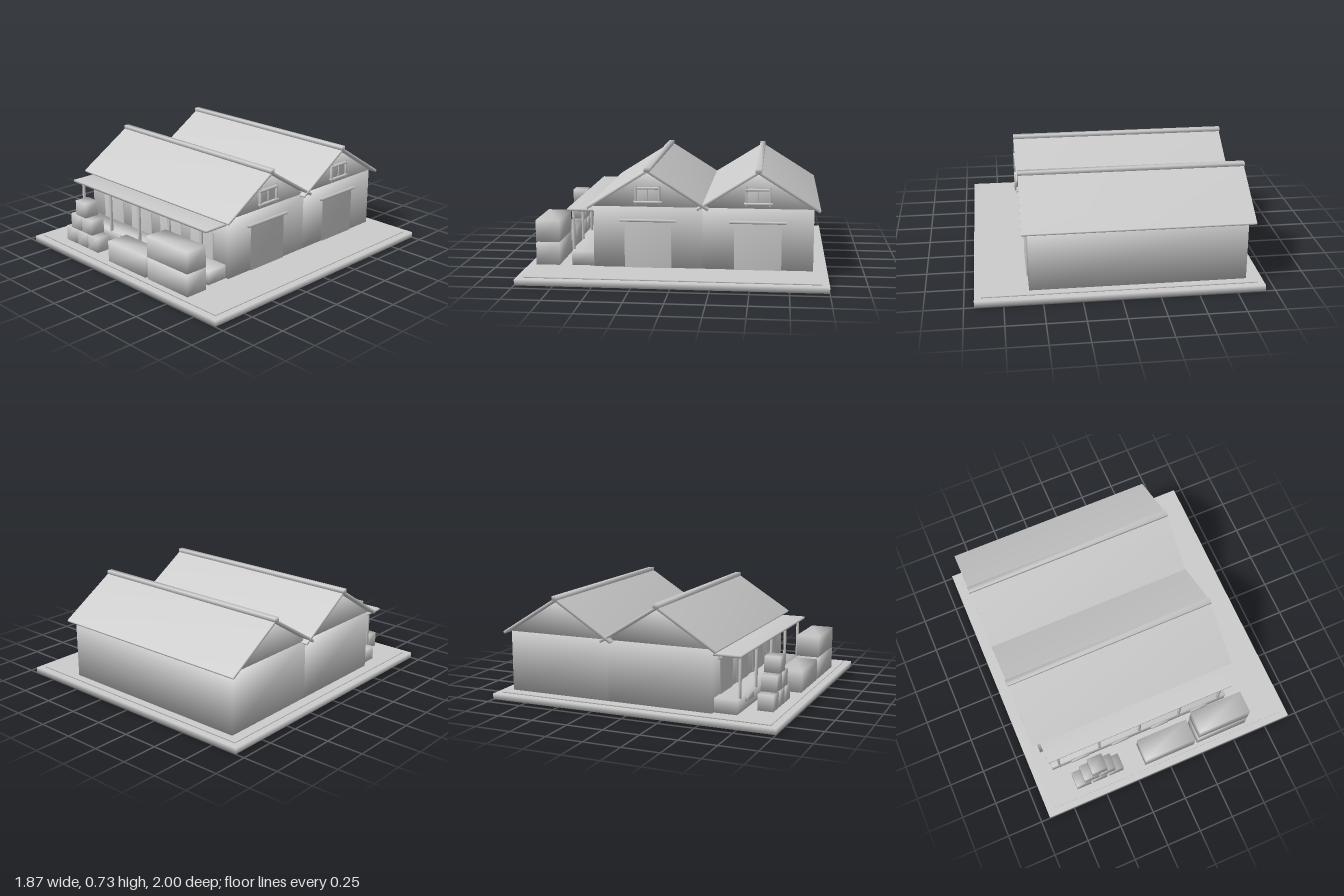
import * as THREE from 'three';
import { mergeVertices } from 'three/addons/utils/BufferGeometryUtils.js';

const material = new THREE.MeshStandardMaterial({ color: 0xcccccc });

// Share corners so the normals run smoothly across the edges
function soften(geometry) {
  geometry.deleteAttribute('normal');
  geometry.deleteAttribute('uv');
  const merged = mergeVertices(geometry, 1e-4);
  merged.computeVertexNormals();
  return merged;
}

function add(parent, name, geometry) {
  const mesh = new THREE.Mesh(soften(geometry), material);
  mesh.name = name;
  parent.add(mesh);
  return mesh;
}

// Box given by its limits on each axis
function box(parent, name, [x0, x1], [y0, y1], [z0, z1]) {
  const mesh = add(parent, name, new THREE.BoxGeometry(x1 - x0, y1 - y0, z1 - z0));
  mesh.position.set((x0 + x1) / 2, (y0 + y1) / 2, (z0 + z1) / 2);
  return mesh;
}

const X0 = -0.825, X1 = 0.585;   // end walls
const EAVE = 0.46, APEX = 0.69, HALF = 0.3625;

function createHall(name, z) {
  const hall = new THREE.Group();
  hall.name = name;
  hall.position.z = z;
  box(hall, 'walls', [X0, X1], [0.05, EAVE], [-HALF, HALF]);

  // Gable prism above the walls
  const triangle = new THREE.Shape([
    new THREE.Vector2(-HALF, EAVE), new THREE.Vector2(HALF, EAVE), new THREE.Vector2(0, APEX),
  ]);
  const prism = new THREE.ExtrudeGeometry(triangle, { depth: X1 - X0, bevelEnabled: false });
  const gable = add(hall, 'gable', prism.rotateY(Math.PI / 2));
  gable.position.x = X0;

  // Roof slopes and ridge cap
  const run = 0.4, drop = 0.25;
  for (const side of [-1, 1]) {
    const slope = add(hall, 'roofSlope', new THREE.BoxGeometry(1.49, 0.018, Math.hypot(run, drop)));
    slope.position.set(-0.12, 0.702 - drop / 2, side * run / 2);
    slope.rotation.x = side * Math.atan2(drop, run);
  }
  box(hall, 'ridgeCap', [-0.87, 0.627], [0.698, 0.725], [-0.02, 0.02]);

  // Large sliding door on the end wall
  box(hall, 'endDoor', [X1 - 0.01, X1 + 0.008], [0.05, 0.362], [-0.155, 0.155]);
  box(hall, 'endDoorRail', [X1 - 0.01, X1 + 0.015], [0.36, 0.376], [-0.185, 0.185]);

  // Gable window
  const win = new THREE.Group();
  win.name = 'gableWindow';
  hall.add(win);
  box(win, 'pane', [X1 - 0.01, X1 + 0.004], [0.495, 0.587], [-0.072, 0.072]);
  for (const s of [-1, 1])
    box(win, 'jamb', [X1 - 0.01, X1 + 0.016], [0.478, 0.598], [s * 0.077 - 0.007, s * 0.077 + 0.007]);
  box(win, 'lintel', [X1 - 0.01, X1 + 0.016], [0.577, 0.592], [-0.084, 0.084]);
  box(win, 'sill', [X1 - 0.01, X1 + 0.018], [0.484, 0.499], [-0.092, 0.092]);
  box(win, 'mullion', [X1 - 0.01, X1 + 0.01], [0.495, 0.58], [-0.003, 0.003]);
  return hall;
}

export function createModel() {
  const model = new THREE.Group();
  model.name = 'warehouse';

  // Ground slabs
  box(model, 'base', [-0.935, 0.935], [0, 0.04], [-1, 1]);
  box(model, 'paving', [-0.89, 0.89], [0.038, 0.048], [-0.955, 0.955]);

  model.add(createHall('frontHall', 0.1825), createHall('backHall', -0.5425));

  // Loading dock and its canopy
  box(model, 'loadingDock', [-0.79, 0.56], [0.045, 0.143], [0.54, 0.7]);
  box(model, 'canopy', [-0.81, 0.57], [0.418, 0.434], [0.54, 0.727]);
  for (let i = 0; i < 5; i++) {
    const x = -0.735 + i * 0.3075;
    box(model, 'canopyPost', [x - 0.008, x + 0.008], [0.14, 0.42], [0.69, 0.706]);
  }

  // Dock doors, each with a rail and a bumper
  for (let i = 0; i < 4; i++) {
    const x = -0.581 + i * 0.3075;
    box(model, 'dockDoor', [x - 0.105, x + 0.105], [0.14, 0.375], [0.54, 0.553]);
    box(model, 'dockDoorRail', [x - 0.13, x + 0.13], [0.374, 0.39], [0.54, 0.56]);
    box(model, 'dockBumper', [x - 0.065, x + 0.065], [0.1, 0.132], [0.695, 0.716]);
  }

  // Pyramid of small crates
  for (let row = 0; row < 3; row++) {
    for (let i = 0; i < 3 - row; i++) {
      const x = -0.627 + row * 0.061 + i * 0.122, y = 0.061 + row * 0.11;
      box(model, 'crate', [x - 0.054, x + 0.054], [y, y + 0.105], [0.795, 0.9]);
    }
  }

  // Long containers, two of them stacked
  for (const [x, y] of [[-0.17, 0.06], [0.235, 0.06], [0.235, 0.215]])
    box(model, 'container', [x, x + 0.38], [y, y + 0.147], [0.772, 0.93]);

  return model;
}
